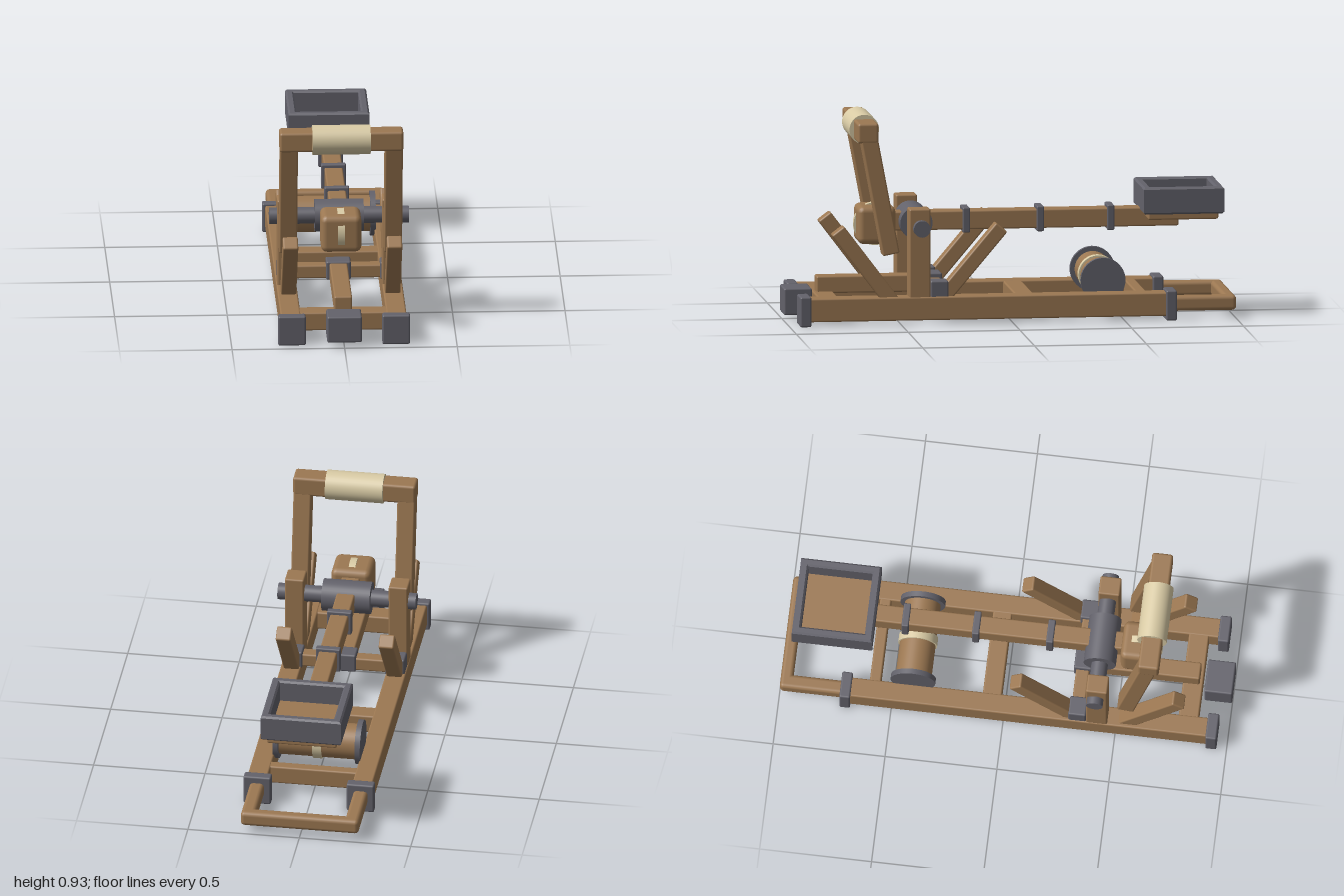
import * as THREE from 'three';
import { RoundedBoxGeometry } from 'three/addons/geometries/RoundedBoxGeometry.js';

const paint = (name, color) => {
  const m = new THREE.MeshStandardMaterial({ color });
  m.name = name;
  return m;
};

export function createModel() {
  const model = new THREE.Group();
  model.name = 'catapult';
  const wood = paint('wood', 0x9c7852);
  const iron = paint('iron', 0x63626b);
  const cloth = paint('cloth', 0xd9cba5);

  const add = (name, geometry, material) => {
    const mesh = new THREE.Mesh(geometry, material);
    mesh.name = name;
    model.add(mesh);
    return mesh;
  };

  // Softened box given by its limits on each axis
  const block = (name, mat, [x0, x1], [y0, y1], [z0, z1], r = 0.008) => {
    const mesh = add(name, new RoundedBoxGeometry(x1 - x0, y1 - y0, z1 - z0, 2, r), mat);
    mesh.position.set((x0 + x1) / 2, (y0 + y1) / 2, (z0 + z1) / 2);
    return mesh;
  };

  // Square beam between two points [z, y] in the side plane
  const leaning = (name, x, width, thick, [z0, y0], [z1, y1]) => {
    const dz = z1 - z0, dy = y1 - y0;
    const mesh = add(name, new RoundedBoxGeometry(width, Math.hypot(dz, dy), thick, 2, 0.008), wood);
    mesh.position.set(x, (y0 + y1) / 2, (z0 + z1) / 2);
    mesh.rotation.x = Math.atan2(dz, dy);
    return mesh;
  };

  // Cylinder lying along x
  const roller = (name, mat, radius, length, x, y, z) => {
    const geo = new THREE.CylinderGeometry(radius, radius, length, 40).rotateZ(Math.PI / 2);
    const mesh = add(name, geo, mat);
    mesh.position.set(x, y, z);
    return mesh;
  };

  // Parts repeated on both sides
  for (const s of [1, -1]) {
    const side = s > 0 ? 'left' : 'right';
    const span = (a, b) => (s > 0 ? [a, b] : [-b, -a]);
    block(side + 'Rail', wood, span(0.19, 0.28), [0.02, 0.125], [-0.72, 0.93]);
    block(side + 'FrontCap', iron, span(0.17, 0.293), [0, 0.135], [0.905, 0.955]);
    block(side + 'RearCollar', iron, span(0.17, 0.293), [0, 0.135], [-0.73, -0.682]);
    block(side + 'TailBar', wood, span(0.2, 0.265), [0.038, 0.105], [-0.998, -0.69], 0.018);
    block(side + 'Post', wood, span(0.19, 0.276), [0.1, 0.518], [0.37, 0.465]);
    block(side + 'BeamBracket', iron, span(0.185, 0.274), [0.115, 0.195], [0.29, 0.37]);
    leaning(side + 'FrontBrace', s * 0.231, 0.068, 0.068, [0.53, 0.09], [0.783, 0.425]);
    leaning(side + 'RearBrace', s * 0.231, 0.068, 0.066, [0.335, 0.09], [0.05, 0.428]);
    leaning(side + 'Upright', s * 0.233, 0.08, 0.076, [0.545, 0.316], [0.648, 0.86]);
    roller(side + 'DrumFlange', iron, 0.1, 0.024, s * 0.184, 0.173, -0.412);
  }

  // Base cross members
  block('tailEndBar', wood, [-0.265, 0.265], [0.038, 0.105], [-1, -0.945], 0.018);
  for (const [name, z0, z1] of [['front', 0.775, 0.865], ['middle', -0.1, -0.015], ['rear', -0.605, -0.555]]) {
    block(name + 'CrossBeam', wood, [-0.2, 0.2], [0.04, 0.123], [z0, z1]);
  }
  block('raisedCrossBeam', wood, [-0.2, 0.2], [0.12, 0.18], [0.3, 0.36]);
  block('centreBeam', wood, [-0.04, 0.04], [0.115, 0.192], [0.34, 0.85]);
  block('centreBracket', iron, [-0.055, 0.055], [0.115, 0.2], [0.29, 0.37]);
  block('frontBumper', iron, [-0.077, 0.077], [0.025, 0.145], [0.875, 1]);

  // Winding drum
  roller('drum', wood, 0.08, 0.36, 0, 0.173, -0.412);
  roller('drumRope', cloth, 0.087, 0.04, 0, 0.173, -0.412);

  // Axle and throwing arm
  roller('axle', iron, 0.037, 0.62, 0, 0.432, 0.412);
  roller('hub', iron, 0.072, 0.217, 0, 0.432, 0.412);
  block('arm', wood, [-0.041, 0.041], [0.39, 0.475], [-0.77, 0.55]);
  for (const z of [0.181, -0.15, -0.465]) {
    block('armCollar', iron, [-0.055, 0.055], [0.377, 0.49], [z - 0.016, z + 0.016], 0.006);
  }

  // Counterweight with its strap
  block('counterweight', wood, [-0.09, 0.09], [0.336, 0.506], [0.5, 0.67], 0.028);
  roller('counterweightStrap', cloth, 0.096, 0.03, 0, 0.42, 0.585);

  // Bucket: open frame on a wooden floor
  const frame = new THREE.Shape([[-1, -1], [1, -1], [1, 1], [-1, 1]]
    .map(([x, y]) => new THREE.Vector2(x * 0.172, y * 0.172)));
  frame.holes.push(new THREE.Path([[-1, -1], [-1, 1], [1, 1], [1, -1]]
    .map(([x, y]) => new THREE.Vector2(x * 0.151, y * 0.151))));
  const walls = new THREE.ExtrudeGeometry(frame, {
    depth: 0.104, bevelEnabled: true, bevelThickness: 0.008, bevelSize: 0.008, bevelSegments: 1,
  }).rotateX(-Math.PI / 2);
  add('bucketWalls', walls, iron).position.set(0, 0.468, -0.776);
  block('bucketFloor', wood, [-0.157, 0.157], [0.433, 0.482], [-0.933, -0.619]);

  // Padded stop bar
  block('stopBar', wood, [-0.275, 0.275], [0.815, 0.905], [0.602, 0.695], 0.012);
  roller('stopPadding', cloth, 0.066, 0.258, 0, 0.859, 0.648);

  return model;
}
